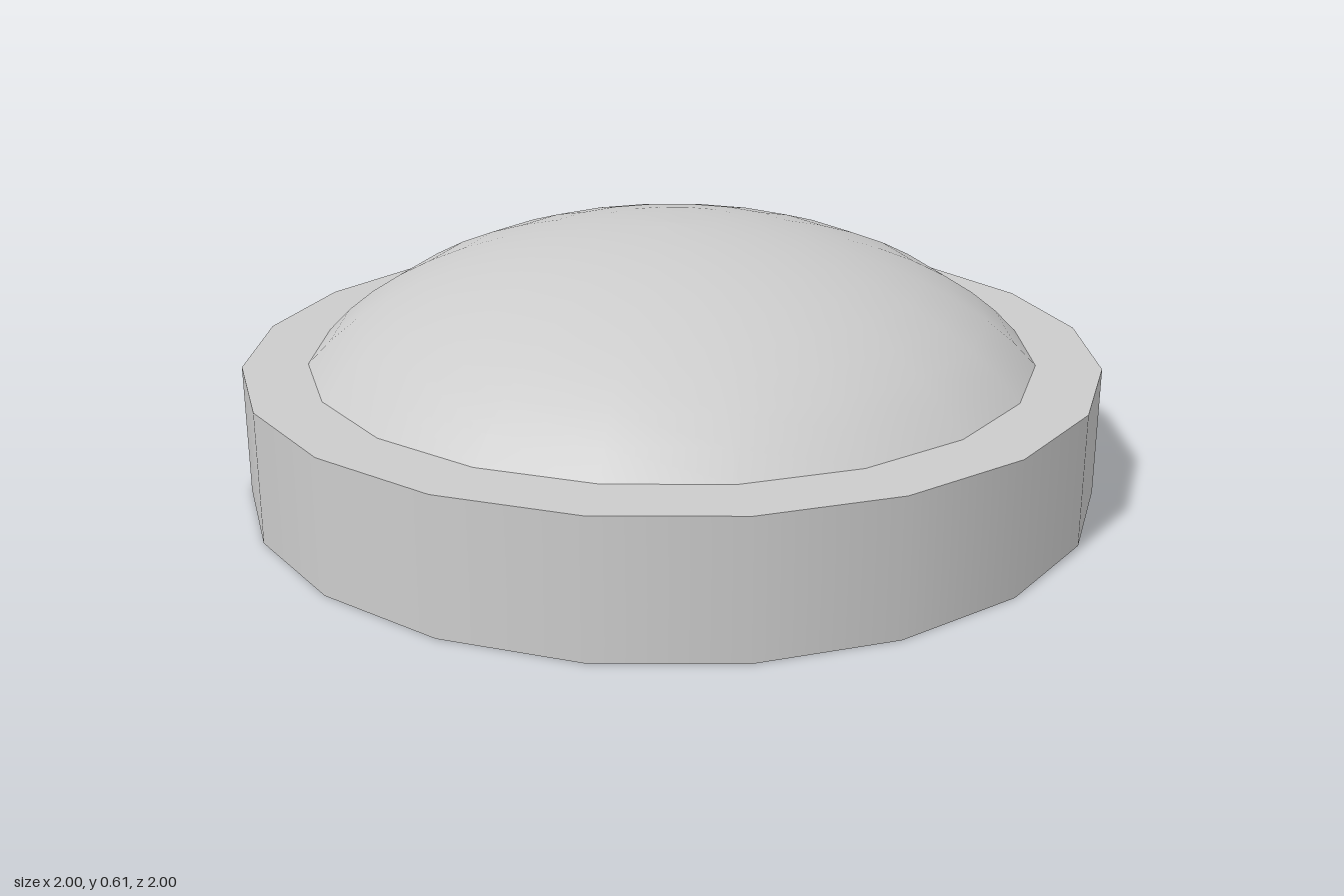
import * as THREE from 'three';

const SIDES = 20;

export function createModel() {
  const group = new THREE.Group();
  const material = new THREE.MeshStandardMaterial({ color: 0xcccccc });

  // Flat round base with smooth sides
  const baseHeight = 0.305;
  const base = new THREE.Mesh(new THREE.CylinderGeometry(1, 1, baseHeight, SIDES), material);
  base.name = 'base';
  base.position.y = baseHeight / 2;
  group.add(base);

  // Domed cap: the upper part of a flattened ellipsoid, from its rim to its pole
  const radius = 0.95, height = 0.55, centreY = 0.06, rimRadius = 0.85, rows = 10;
  const rimAngle = Math.asin(rimRadius / radius);
  const profile = [];
  for (let i = 0; i <= rows; i++) {
    const a = rimAngle * (1 - i / rows);
    profile.push(new THREE.Vector2(radius * Math.sin(a), centreY + height * Math.cos(a)));
  }
  const dome = new THREE.Mesh(new THREE.LatheGeometry(profile, SIDES), material);
  dome.name = 'dome';
  group.add(dome);

  return group;
}
